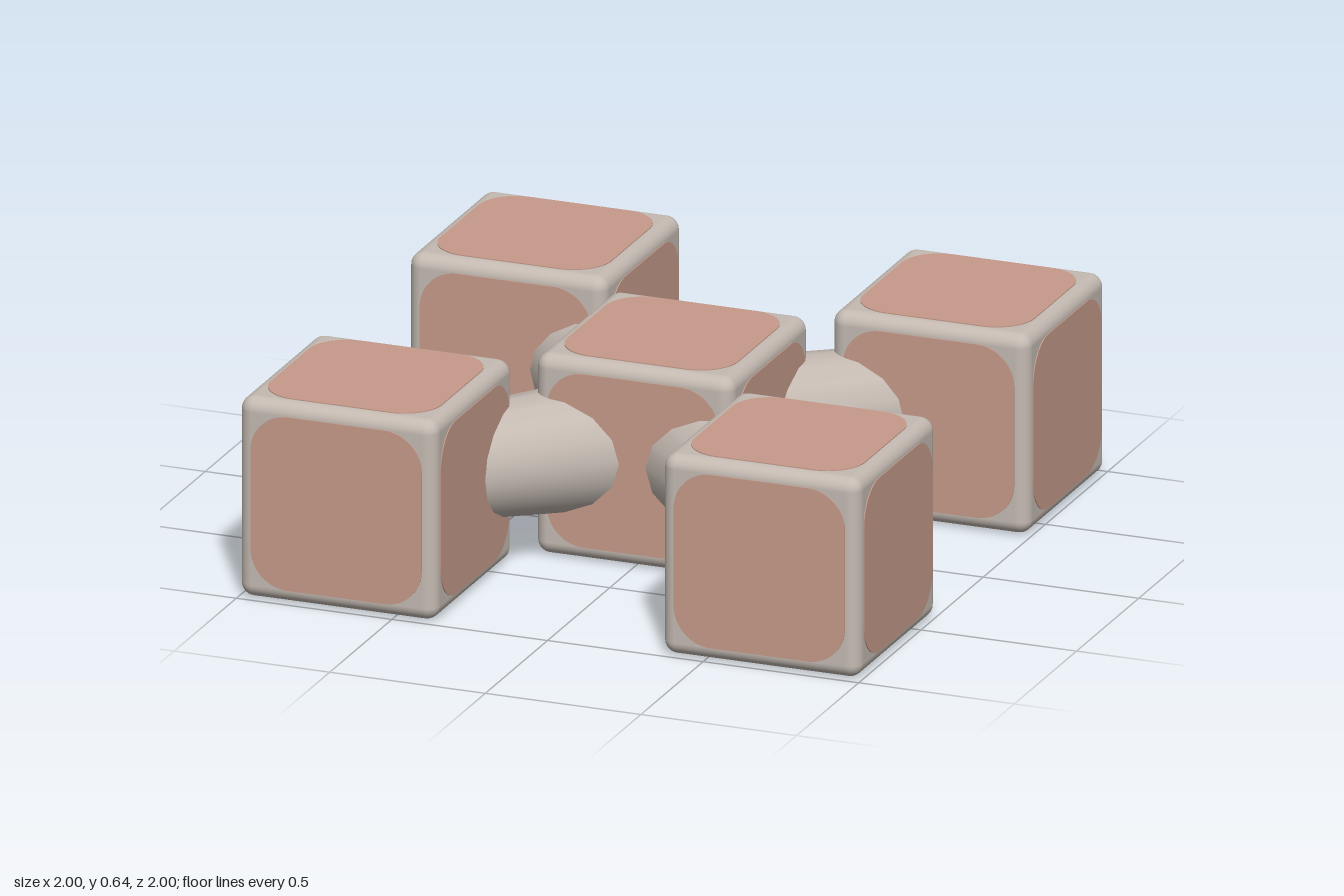
import * as THREE from 'three';
import { RoundedBoxGeometry } from 'three/addons/geometries/RoundedBoxGeometry.js';

const SIZE = 0.64;      // outer size of a cube, panels included
const OFFSET = 0.68;    // distance of the corner cubes from the centre on x and z
const LIP = 0.003;      // how far the panels stand out of the frame

function roundedSquare(size, r) {
  const h = size / 2;
  const s = new THREE.Shape();
  s.moveTo(h, h - r);
  s.absarc(h - r, h - r, r, 0, Math.PI / 2);
  s.absarc(-h + r, h - r, r, Math.PI / 2, Math.PI);
  s.absarc(-h + r, -h + r, r, Math.PI, Math.PI * 1.5);
  s.absarc(h - r, -h + r, r, Math.PI * 1.5, Math.PI * 2);
  s.closePath();
  return s;
}

export function createModel() {
  const frameGrey = new THREE.MeshStandardMaterial({ color: 0xc4bab2 });
  frameGrey.name = 'frameGrey';
  const panelClay = new THREE.MeshStandardMaterial({ color: 0xc69a89 });
  panelClay.name = 'panelClay';

  const frameGeo = new RoundedBoxGeometry(SIZE - 2 * LIP, SIZE - 2 * LIP, SIZE - 2 * LIP, 4, 0.042);
  const panelGeo = new THREE.ExtrudeGeometry(roundedSquare(0.55, 0.12), {
    depth: 0.008, bevelEnabled: false, curveSegments: 8,
  });
  panelGeo.translate(0, 0, SIZE / 2 - 0.008);

  // rotations that carry the +z panel to each of the six faces
  const q = Math.PI / 2;
  const faces = [[0, 0], [0, q], [0, 2 * q], [0, -q], [q, 0], [-q, 0]];

  function cube(name, x, z) {
    const group = new THREE.Group();
    group.name = name;
    const frame = new THREE.Mesh(frameGeo, frameGrey);
    frame.name = 'cubeFrame';
    group.add(frame);
    for (const [rx, ry] of faces) {
      const panel = new THREE.Mesh(panelGeo, panelClay);
      panel.name = 'facePanel';
      panel.rotation.set(rx, ry, 0);
      group.add(panel);
    }
    group.position.set(x, SIZE / 2, z);
    return group;
  }

  // tapered arm lying along +z, wide end at the centre
  const length = OFFSET * Math.SQRT2;
  const armGeo = new THREE.CylinderGeometry(0.153, 0.212, length, 16, 1);
  armGeo.rotateX(Math.PI / 2);
  armGeo.translate(0, 0, length / 2);

  const model = new THREE.Group();
  model.name = 'crossOfCubes';
  model.add(cube('centreCube', 0, 0));
  for (const sx of [-1, 1]) {
    for (const sz of [-1, 1]) {
      const corner = (sz > 0 ? 'front' : 'back') + (sx > 0 ? 'Left' : 'Right');
      model.add(cube(corner + 'Cube', sx * OFFSET, sz * OFFSET));
      const arm = new THREE.Mesh(armGeo, frameGrey);
      arm.name = corner + 'Arm';
      arm.position.y = SIZE / 2 + 0.004;
      arm.rotation.y = Math.atan2(sx, sz);
      model.add(arm);
    }
  }
  return model;
}
